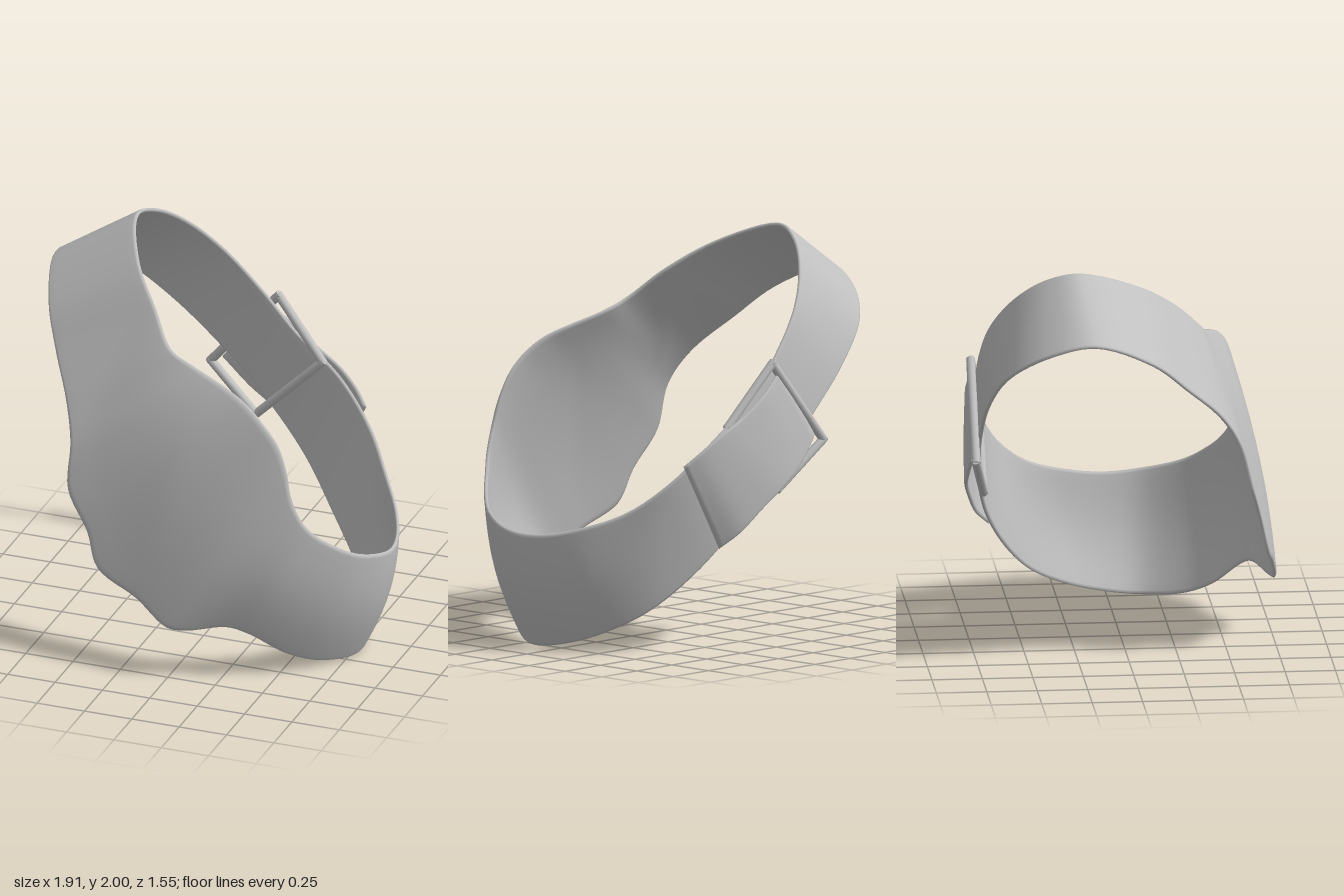
import * as THREE from 'three';

const fabric = new THREE.MeshStandardMaterial({ color: 0xc0c0c0 });
fabric.name = 'light grey';

// Edge curve through points given as flat x, y, z values
function edge(values, closed) {
  const points = [];
  for (let i = 0; i < values.length; i += 3) points.push(new THREE.Vector3(...values.slice(i, i + 3)));
  return new THREE.CatmullRomCurve3(points, closed);
}

// Thin cloth band lofted between two edges, with rounded rims and a bulge across its width
function band(name, upper, lower, closed, steps, half, bulge) {
  const across = [0, 0.012, 0.03];
  for (let k = 1; k < 12; k++) across.push(0.03 + 0.94 * k / 12);
  across.push(0.97, 0.988, 1);
  const n = across.length, ring = 2 * n - 2;
  const rows = closed ? steps : steps + 1;
  const pos = [], index = [];
  for (let i = 0; i < rows; i++) {
    const u = i / steps;
    const a = upper.getPoint(u), b = lower.getPoint(u);
    const width = b.clone().sub(a);
    const along = upper.getTangent(u).add(lower.getTangent(u));
    const normal = width.clone().cross(along).normalize();
    const taper = !closed && (i === 0 || i === steps) ? 0.05 : 1;
    for (let j = 0; j < ring; j++) {
      const outer = j < n;
      const k = outer ? j : ring - j;
      const v = across[k];
      const rim = k === 0 || k === n - 1 ? 0 : k === 1 || k === n - 2 ? 0.8 : 1;
      const mid = a.clone().addScaledVector(width, v);
      const lift = bulge(mid) * Math.sin(Math.PI * v) + (outer ? 1 : -1) * half * rim * taper;
      mid.addScaledVector(normal, lift);
      pos.push(mid.x, mid.y, mid.z);
    }
  }
  for (let i = 0; i < steps; i++) {
    const r0 = i * ring, r1 = ((i + 1) % rows) * ring;
    for (let j = 0; j < ring; j++) {
      const k = (j + 1) % ring;
      index.push(r0 + j, r0 + k, r1 + j, r0 + k, r1 + k, r1 + j);
    }
  }
  const geo = new THREE.BufferGeometry();
  geo.setAttribute('position', new THREE.Float32BufferAttribute(pos, 3));
  geo.setIndex(index);
  geo.computeVertexNormals();
  const mesh = new THREE.Mesh(geo, fabric);
  mesh.name = name;
  return mesh;
}

// Round bar between two points
function bar(name, from, to, radius) {
  const dir = to.clone().sub(from);
  const mesh = new THREE.Mesh(new THREE.CylinderGeometry(radius, radius, dir.length() + radius, 12), fabric);
  mesh.position.copy(from).add(to).multiplyScalar(0.5);
  mesh.quaternion.setFromUnitVectors(new THREE.Vector3(0, 1, 0), dir.normalize());
  mesh.name = name;
  return mesh;
}

export function createModel() {
  const model = new THREE.Group();
  model.name = 'strappedPatch';

  // Patch and head strap: one continuous loop, wide at the front and narrow behind
  const upper = edge([
    -0.53, 2, -0.25, -0.41, 1.89, 0.06, -0.25, 1.75, 0.25, -0.12, 1.61, 0.38,
    0, 1.56, 0.41, 0.2, 1.5, 0.47, 0.33, 1.45, 0.52, 0.44, 1.37, 0.56,
    0.52, 1.28, 0.58, 0.57, 1.16, 0.6, 0.6, 1.03, 0.615, 0.65, 0.9, 0.6,
    0.7, 0.82, 0.56, 0.78, 0.74, 0.49, 0.87, 0.66, 0.38, 0.945, 0.6, 0.18,
    0.925, 0.59, 0, 0.845, 0.63, -0.2, 0.71, 0.72, -0.41, 0.57, 0.87, -0.57,
    0.37, 1.07, -0.67, 0.13, 1.26, -0.7, -0.05, 1.46, -0.7, -0.23, 1.67, -0.655,
    -0.38, 1.85, -0.54, -0.48, 1.96, -0.4,
  ], true);
  const lower = edge([
    -0.955, 1.73, -0.2, -0.88, 1.61, 0.09, -0.775, 1.45, 0.27, -0.65, 1.27, 0.45,
    -0.59, 1.1, 0.55, -0.58, 0.87, 0.61, -0.46, 0.68, 0.66, -0.39, 0.51, 0.7,
    -0.17, 0.4, 0.74, 0, 0.28, 0.765, 0.1, 0.27, 0.74, 0.28, 0.29, 0.675,
    0.38, 0.25, 0.63, 0.53, 0.11, 0.5, 0.66, 0.03, 0.36, 0.77, 0, 0.17,
    0.765, 0.02, 0, 0.7, 0.08, -0.2, 0.555, 0.2, -0.4, 0.38, 0.38, -0.545,
    0.19, 0.61, -0.655, -0.05, 0.88, -0.705, -0.29, 1.12, -0.715, -0.54, 1.35, -0.69,
    -0.74, 1.53, -0.61, -0.89, 1.67, -0.42,
  ], true);
  model.add(band('patchAndStrap', upper, lower, true, 156, 0.01,
    (p) => 0.06 * THREE.MathUtils.clamp(p.x + p.z, 0, 0.6)));

  // Loose strap end passing through the buckle
  const endUpper = edge([
    0.53, 0.95, -0.62, 0.46, 1.02, -0.67, 0.36, 1.1, -0.71,
    0.24, 1.17, -0.735, 0.1, 1.27, -0.75, -0.02, 1.37, -0.74,
  ], false);
  const endLower = edge([
    0.28, 0.51, -0.625, 0.2, 0.59, -0.695, 0.09, 0.7, -0.74,
    -0.02, 0.79, -0.765, -0.14, 0.88, -0.765, -0.28, 1.03, -0.745,
  ], false);
  model.add(band('strapEnd', endUpper, endLower, false, 40, 0.01, () => 0.006));

  // Four-sided buckle frame, tilted with the strap
  const buckle = new THREE.Group();
  buckle.name = 'buckle';
  const corners = [
    [0.02, 1.42, -0.74], [-0.34, 1, -0.745], [-0.08, 0.775, -0.685], [0.275, 1.125, -0.68],
  ].map((c) => new THREE.Vector3(...c));
  corners.forEach((c, i) => buckle.add(bar('buckleBar', c, corners[(i + 1) % 4], 0.022)));
  model.add(buckle);

  return model;
}
